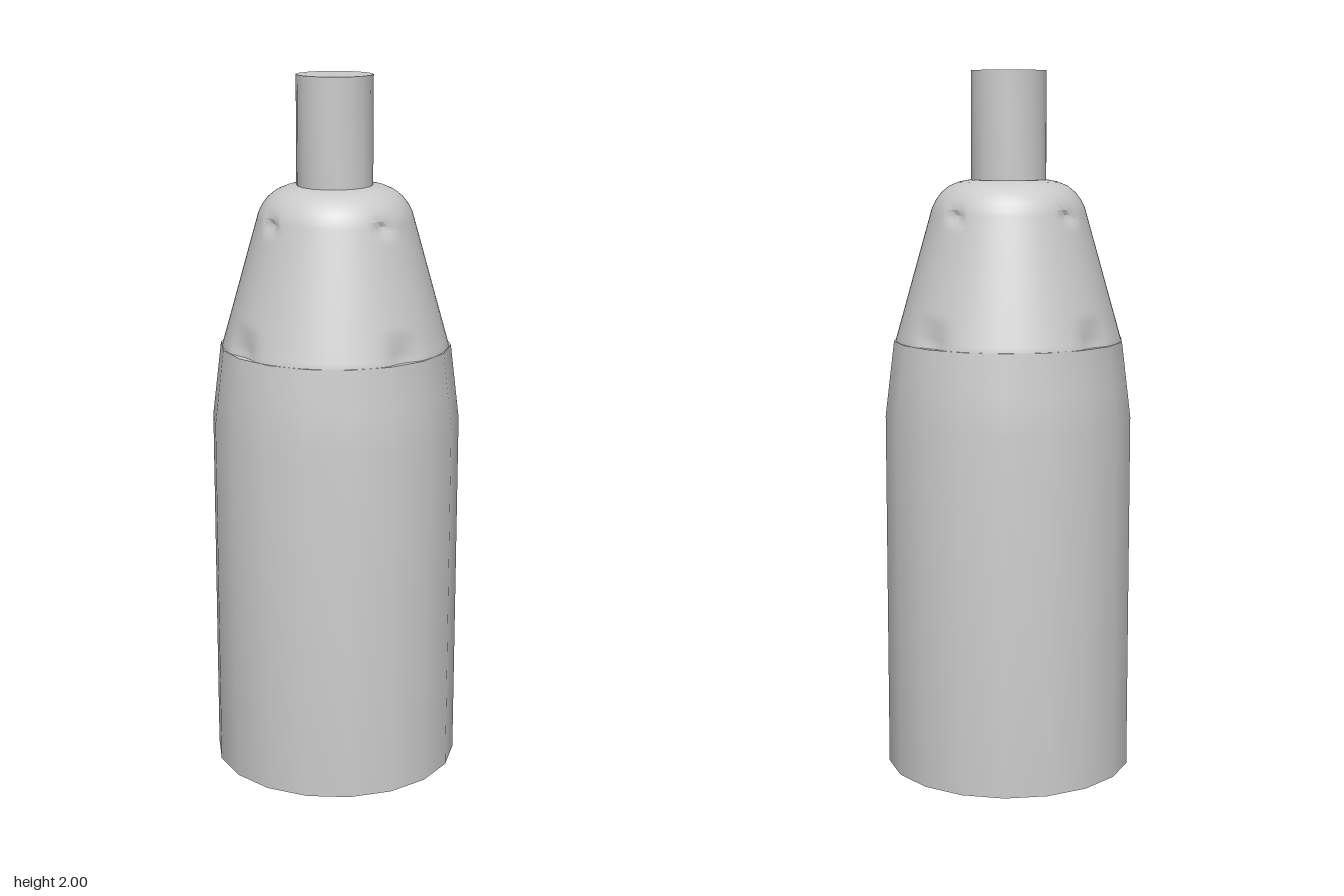
import * as THREE from 'three';
import { toCreasedNormals } from 'three/addons/utils/BufferGeometryUtils.js';

const material = new THREE.MeshStandardMaterial({ color: 0xcccccc, side: THREE.DoubleSide });

// Revolve [radius, height] points, with a corner lying on the x axis
function revolve(points, sides) {
  const profile = points.map(([r, y]) => new THREE.Vector2(r, y));
  return new THREE.LatheGeometry(profile, sides, Math.PI / 2);
}

// Push small hollows into the shoulder at the front, back and both sides
function addDents(geometry) {
  const dents = [
    { y: 1.6, height: 0.026, width: 0.035, depth: 0.016 },
    { y: 1.255, height: 0.075, width: 0.06, depth: 0.018 },
  ];
  const pos = geometry.attributes.position;
  for (let i = 0; i < pos.count; i++) {
    const x = pos.getX(i), y = pos.getY(i), z = pos.getZ(i);
    const r = Math.hypot(x, z);
    if (r < 0.15) continue;
    const across = Math.min(Math.abs(x), Math.abs(z));
    let push = 0;
    for (const d of dents) {
      const u = across / d.width, v = Math.abs(y - d.y) / d.height;
      push += d.depth * Math.max(0, 1 - u * u) * Math.max(0, 1 - v);
    }
    pos.setXYZ(i, x * (1 - push / r), y, z * (1 - push / r));
  }
  return geometry;
}

export function createModel() {
  const group = new THREE.Group();
  const add = (name, geometry) => {
    const mesh = new THREE.Mesh(toCreasedNormals(geometry, 0.6), material);
    mesh.name = name;
    group.add(mesh);
    return mesh;
  };

  // Straight body with a gently tapered top and a narrow rim
  add('body', revolve([
    [0, 0], [0.354, 0], [0.354, 1.03], [0.342, 1.13], [0.328, 1.245], [0.27, 1.245],
  ], 18));

  // Conical shoulder rounding over into a dome
  const shoulder = [[0.323, 1.235]];
  for (let i = 0; i <= 26; i++) {
    const t = i / 26;
    shoulder.push([0.322 - 0.106 * t, 1.245 + 0.375 * t]);
  }
  shoulder.push([0.205, 1.642], [0.19, 1.662], [0.168, 1.68], [0.14, 1.692], [0.108, 1.698], [0, 1.698]);
  add('shoulder', addDents(revolve(shoulder, 72)));

  // Plain neck, set very slightly off centre
  const neck = add('neck', revolve([[0, 1.68], [0.107, 1.68], [0.107, 2], [0, 2]], 18));
  neck.position.set(-0.006, 0, 0.004);

  return group;
}
